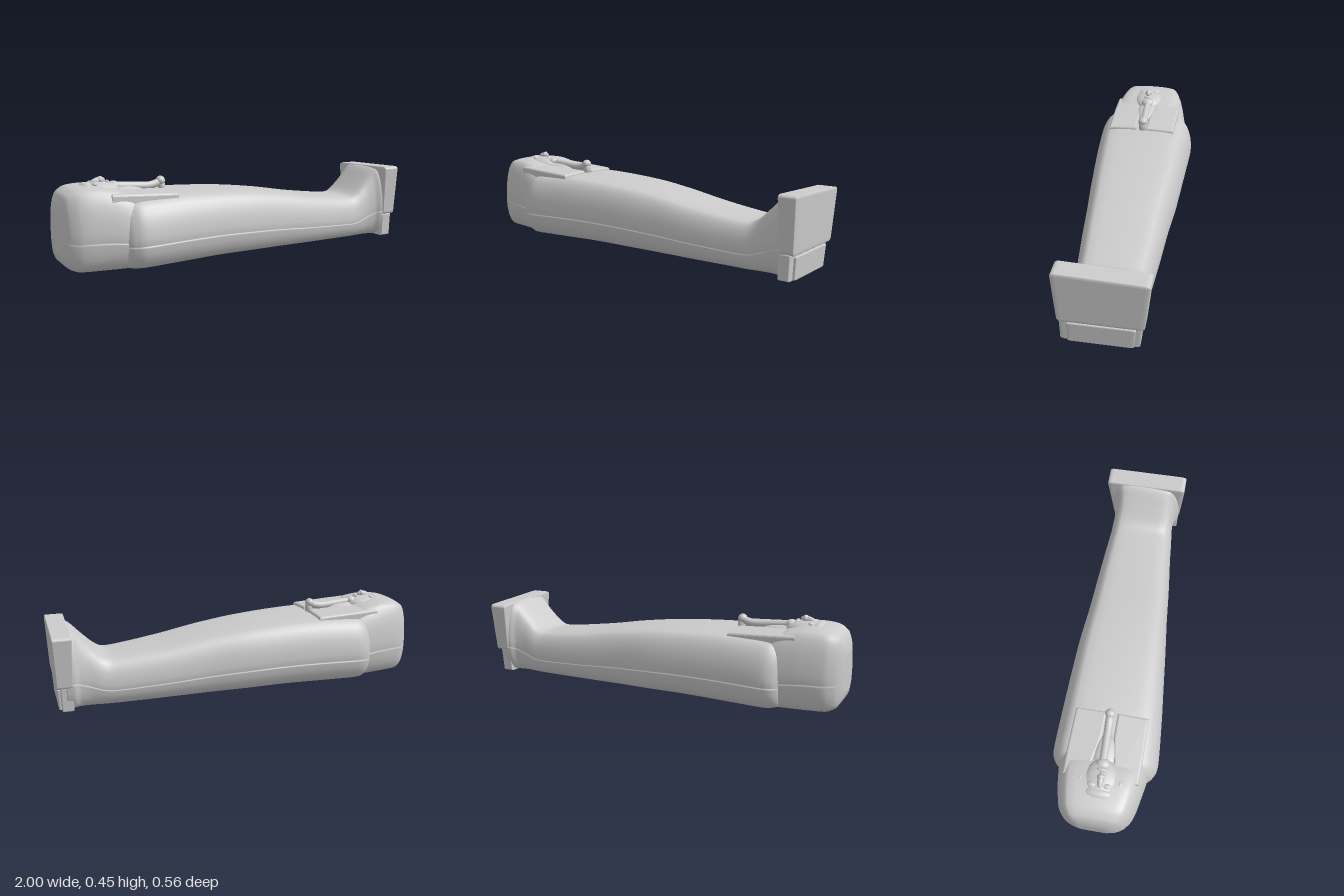
import * as THREE from 'three';
import { RoundedBoxGeometry } from 'three/addons/geometries/RoundedBoxGeometry.js';

const material = new THREE.MeshStandardMaterial({ color: 0xcccccc, roughness: 0.9, side: THREE.DoubleSide });

// Half cross-section, bottom centre to top centre: [share of half width, share of height]
// The notch near 0.37 is the seam between lid and trough.
const half = [
  [0, 0], [0.35, 0], [0.66, 0.005], [0.78, 0.03], [0.87, 0.085], [0.94, 0.17], [0.98, 0.26], [0.998, 0.345],
  [1, 0.362], [0.978, 0.37], [1, 0.378], [1, 0.48], [0.98, 0.6], [0.945, 0.71], [0.895, 0.81],
  [0.83, 0.89], [0.76, 0.945], [0.68, 0.975], [0.5, 0.99], [0.25, 0.998], [0, 1],
];
const ring = [...half, ...half.slice(1, -1).reverse().map(([u, v]) => [-u, v])];

// Closed skin through stations [x, bottom, top, back z, front z]
function loft(stations, steps) {
  const heights = new THREE.CatmullRomCurve3(stations.map(s => new THREE.Vector3(s[0], s[1], s[2])), false, 'catmullrom', 0.4);
  const widths = new THREE.CatmullRomCurve3(stations.map(s => new THREE.Vector3(s[0], s[3], s[4])), false, 'catmullrom', 0.4);
  const pos = [], index = [], n = ring.length;
  for (let i = 0; i <= steps; i++) {
    const h = heights.getPoint(i / steps), w = widths.getPoint(i / steps);
    for (const [u, v] of ring) {
      pos.push(h.x, h.y + (h.z - h.y) * v, (w.y + w.z) / 2 + u * (w.z - w.y) / 2);
    }
  }
  for (let i = 0; i < steps; i++) {
    for (let j = 0; j < n; j++) {
      const a = i * n + j, c = i * n + (j + 1) % n;
      index.push(a, a + n, c, c, a + n, c + n);
    }
  }
  // End caps
  for (const [k, s] of [[0, stations[0]], [steps, stations[stations.length - 1]]]) {
    const centre = pos.length / 3;
    pos.push(s[0], (s[1] + s[2]) / 2, (s[3] + s[4]) / 2);
    for (let j = 0; j < n; j++) {
      const a = k * n + j, b = k * n + (j + 1) % n;
      index.push(centre, k ? b : a, k ? a : b);
    }
  }
  const g = new THREE.BufferGeometry();
  g.setAttribute('position', new THREE.Float32BufferAttribute(pos, 3));
  g.setIndex(index);
  g.computeVertexNormals();
  return g;
}

export function createModel() {
  const model = new THREE.Group();
  const add = (name, geometry, parent = model) => {
    const mesh = new THREE.Mesh(geometry, material);
    mesh.name = name;
    parent.add(mesh);
    return mesh;
  };
  const blob = (name, parent, p, r) => {
    const mesh = add(name, new THREE.SphereGeometry(1, 28, 18), parent);
    mesh.position.set(...p);
    mesh.scale.set(...r);
    return mesh;
  };

  // Mummy-shaped case, shoulders to feet
  add('body', loft([
    [-0.73, 0.06, 0.26, -0.19, 0.18],
    [-0.71, 0.02, 0.32, -0.24, 0.23],
    [-0.68, 0.01, 0.342, -0.27, 0.258],
    [-0.62, 0.007, 0.355, -0.285, 0.276],
    [-0.4, 0.012, 0.362, -0.28, 0.26],
    [-0.2, 0.016, 0.356, -0.274, 0.24],
    [0, 0.014, 0.342, -0.266, 0.22],
    [0.2, 0.012, 0.317, -0.25, 0.198],
    [0.4, 0.01, 0.283, -0.24, 0.18],
    [0.6, 0.008, 0.257, -0.228, 0.158],
    [0.71, 0.007, 0.249, -0.22, 0.148],
    [0.76, 0.007, 0.272, -0.216, 0.142],
    [0.82, 0.007, 0.33, -0.212, 0.136],
    [0.87, 0.007, 0.383, -0.218, 0.142],
    [0.9, 0.008, 0.405, -0.235, 0.158],
    [0.94, 0.01, 0.405, -0.235, 0.16],
  ], 90));

  // Headdress over the skull
  add('headdress', loft([
    [-1, 0.1, 0.29, -0.09, 0.08],
    [-0.99, 0.06, 0.34, -0.125, 0.115],
    [-0.97, 0.027, 0.382, -0.16, 0.15],
    [-0.93, 0.01, 0.408, -0.192, 0.182],
    [-0.88, 0.008, 0.417, -0.208, 0.2],
    [-0.8, 0.008, 0.416, -0.225, 0.216],
    [-0.72, 0.008, 0.4, -0.236, 0.23],
    [-0.66, 0.01, 0.375, -0.24, 0.235],
    [-0.6, 0.02, 0.34, -0.235, 0.225],
  ], 48));

  // Pair of lappets hanging over the chest
  const bevel = 0.012;
  const outline = new THREE.Shape([
    [-0.76, 0.08], [-0.67, 0.062], [-0.56, 0.042], [-0.437, 0.04],
    [-0.437, 0.178], [-0.64, 0.182], [-0.76, 0.18],
  ].map(p => new THREE.Vector2(...p)));
  for (const side of [1, -1]) {
    const g = new THREE.ExtrudeGeometry(outline, {
      depth: 0.08, bevelSize: bevel, bevelThickness: bevel, bevelSegments: 4,
    });
    g.rotateX(Math.PI / 2);
    const p = g.attributes.position;
    for (let i = 0; i < p.count; i++) {
      // Slope down towards the chest and the outer edge
      const x = p.getX(i), z = p.getZ(i);
      p.setY(i, p.getY(i) + 0.365 - 0.05 * (x + 0.437) - 0.08 * Math.max(0, z - 0.1));
    }
    g.computeVertexNormals();
    const lappet = add(side > 0 ? 'frontLappet' : 'backLappet', g);
    lappet.scale.z = side;
  }

  // Face looking upwards
  const face = new THREE.Group();
  face.name = 'face';
  model.add(face);
  blob('cheeks', face, [-0.785, 0.385, 0.003], [0.115, 0.045, 0.088]);
  blob('brow', face, [-0.845, 0.405, 0.003], [0.03, 0.024, 0.07]);
  const nose = blob('nose', face, [-0.785, 0.428, 0.006], [0.042, 0.022, 0.016]);
  nose.rotation.z = 0.25;
  blob('noseTip', face, [-0.77, 0.436, 0.006], [0.016, 0.02, 0.02]);
  blob('lips', face, [-0.732, 0.421, 0.004], [0.011, 0.013, 0.027]);
  blob('chin', face, [-0.7, 0.402, 0.002], [0.03, 0.026, 0.036]);
  for (const side of [1, -1]) {
    blob('eye', face, [-0.81, 0.421, 0.004 + side * 0.038], [0.014, 0.01, 0.022]);
    blob('ear', face, [-0.79, 0.385, 0.003 + side * 0.1], [0.035, 0.028, 0.02]);
  }

  // Long false beard with a rounded tip
  const beard = new THREE.Group();
  beard.name = 'beard';
  model.add(beard);
  blob('neck', beard, [-0.66, 0.367, 0], [0.12, 0.032, 0.06]);
  const path = new THREE.CatmullRomCurve3([
    [-0.71, 0.403, 0], [-0.6, 0.394, -0.003], [-0.5, 0.39, -0.006], [-0.44, 0.405, -0.008],
  ].map(p => new THREE.Vector3(...p)));
  add('beardShaft', new THREE.TubeGeometry(path, 30, 0.02, 16), beard);
  blob('beardTip', beard, [-0.441, 0.41, -0.008], [0.024, 0.024, 0.026]);
  blob('beardTipBase', beard, [-0.435, 0.38, -0.008], [0.019, 0.035, 0.022]);

  // Foot plate: rounded slab whose ends are set by [y, back z, front z, inner x, outer x]
  function slab(name, low, high, radius) {
    const g = new RoundedBoxGeometry(1, 1, 1, 4, radius);
    const p = g.attributes.position;
    for (let i = 0; i < p.count; i++) {
      const t = p.getY(i) + 0.5, u = p.getX(i) + 0.5, w = p.getZ(i) + 0.5;
      const [y, z0, z1, x0, x1] = low.map((v, k) => THREE.MathUtils.lerp(v, high[k], t));
      // The top edge falls slightly towards the back
      p.setXYZ(i, x0 + (x1 - x0) * u, y + 0.016 * t * (w - 0.5) * (high[0] > 0.3 ? 1 : 0), z0 + (z1 - z0) * w);
    }
    g.computeVertexNormals();
    return add(name, g);
  }
  slab('footPlate', [0.132, -0.238, 0.164, 0.908, 0.988], [0.41, -0.265, 0.18, 0.9, 1], 0.06);
  slab('footPlateBase', [0.004, -0.215, 0.158, 0.905, 0.965], [0.14, -0.225, 0.16, 0.905, 0.97], 0.07);
  slab('footPlatePanel', [0.008, -0.188, 0.122, 0.92, 0.978], [0.124, -0.198, 0.122, 0.92, 0.984], 0.06);

  return model;
}
